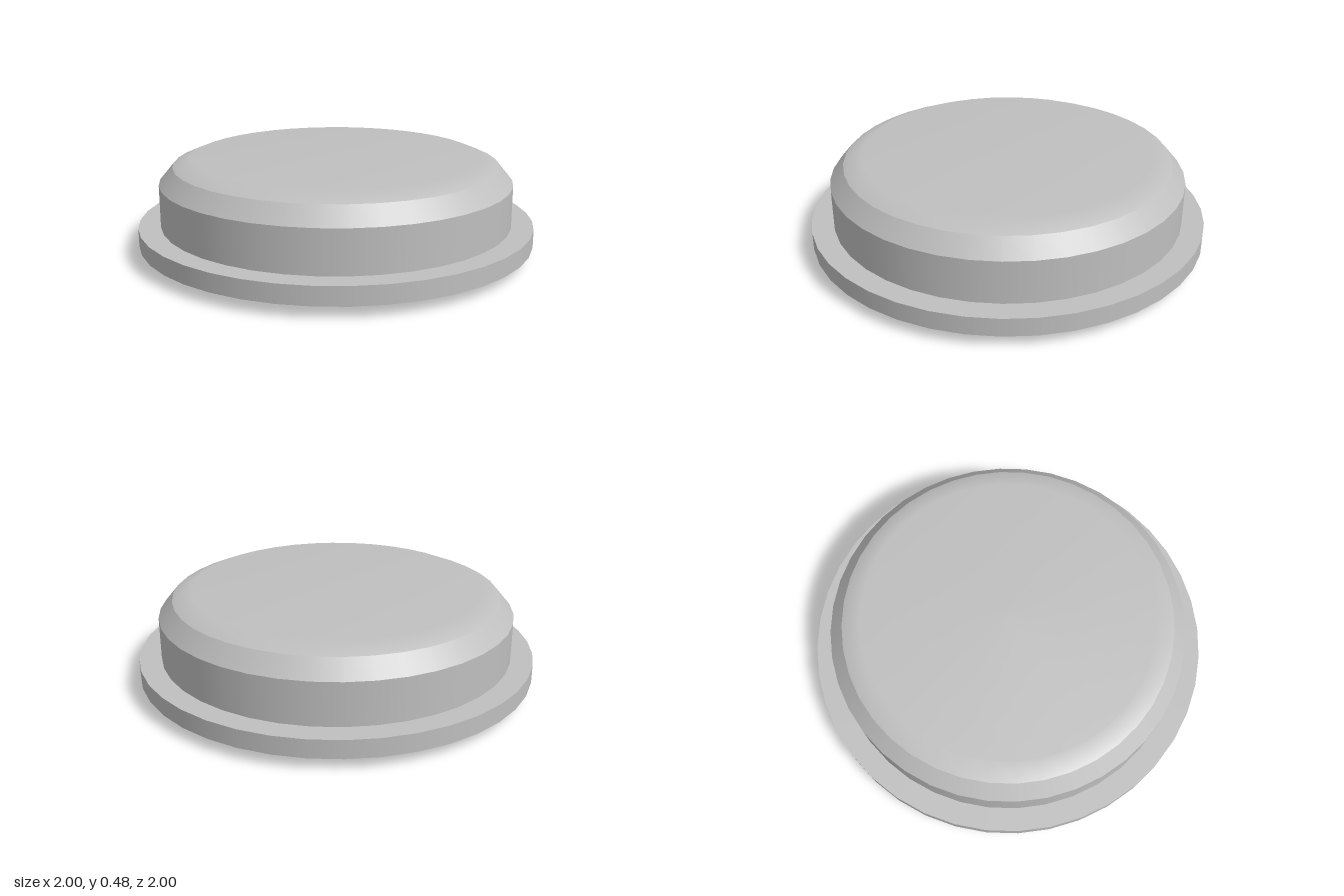
import * as THREE from 'three';

const SEGMENTS = 40;

export function createModel() {
  const group = new THREE.Group();
  const grey = new THREE.MeshStandardMaterial({ color: 0xbfbfbf });
  grey.name = 'grey';

  function add(name, geometry, y = 0) {
    const mesh = new THREE.Mesh(geometry, grey);
    mesh.name = name;
    mesh.position.y = y;
    group.add(mesh);
  }

  // Upright disc between two heights
  function disc(name, radius, bottom, top, open = false) {
    const h = top - bottom;
    add(name, new THREE.CylinderGeometry(radius, radius, h, SEGMENTS, 1, open), bottom + h / 2);
  }

  // Surface of revolution, profile listed from bottom to top
  function turned(name, profile) {
    const points = profile.map(([r, y]) => new THREE.Vector2(r, y));
    add(name, new THREE.LatheGeometry(points, SEGMENTS));
  }

  disc('bottomStem', 0.275, 0, 0.057);
  disc('baseFlange', 1, 0.057, 0.147);
  disc('bodyWall', 0.89, 0.147, 0.357, true);

  // Bevelled shoulder and softly rounded cap
  turned('shoulderBevel', [[0.89, 0.357], [0.82, 0.44]]);
  turned('cap', [[0.82, 0.44], [0.725, 0.479], [0, 0.479]]);

  return group;
}
